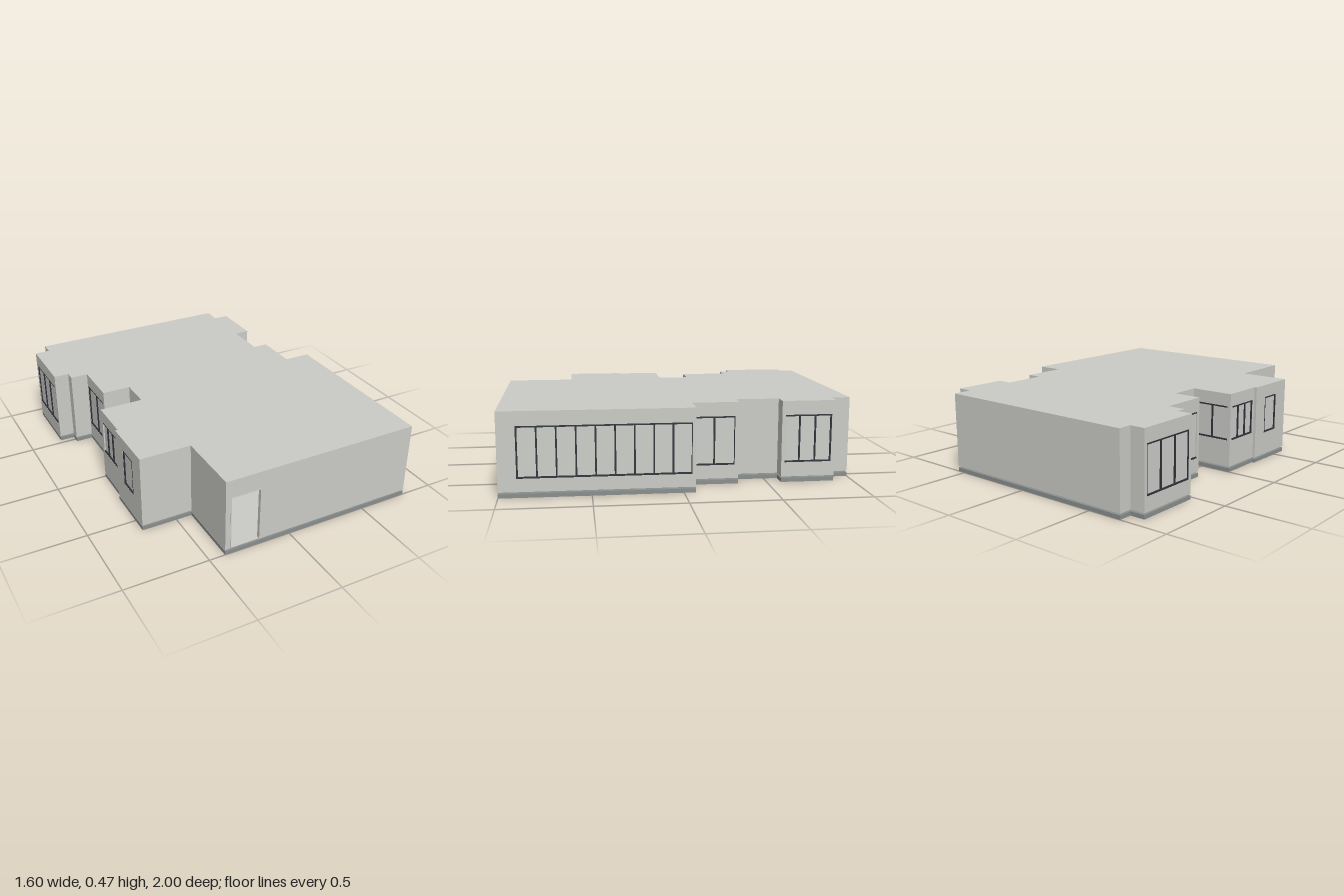
import * as THREE from 'three';

const material = (name, color) => {
  const m = new THREE.MeshStandardMaterial({ color });
  m.name = name;
  return m;
};

// Plan corners as [x, z], walked with the outside on the left hand
const PLAN = [
  [-0.71, -1], [0.55, -1], [0.55, -0.89], [0.64, -0.89], [0.64, -0.58], [0.55, -0.58],
  [0.55, -0.33], [0.64, -0.33], [0.64, -0.065], [0.8, -0.065], [0.8, 1], [-0.405, 1],
  [-0.405, 0.6], [-0.71, 0.6], [-0.71, 0.26], [-0.695, 0.26], [-0.695, 0], [-0.435, 0],
  [-0.435, -0.185], [-0.605, -0.185], [-0.605, -0.47], [-0.71, -0.47], [-0.71, -0.53],
  [-0.8, -0.53], [-0.8, -0.92], [-0.71, -0.92],
];
const FLOOR = 0.032, CEILING = 0.455, TOP = 0.47, WALL = 0.02;

// Openings by plan edge: from and to along the edge, sill, head, number of panes
const OPENINGS = {
  3: { from: -0.87, to: -0.588, sill: 0.115, head: 0.39, panes: 3 },
  7: { from: -0.315, to: -0.07, sill: 0.11, head: 0.39, panes: 2 },
  8: { from: 0.648, to: 0.792, sill: 0.105, head: 0.39, panes: 1 },
  9: { from: -0.05, to: 0.9, sill: 0.105, head: 0.39, panes: 9 },
  10: { from: -0.37, to: -0.195, sill: FLOOR, head: 0.36, panes: 0 },
  13: { from: 0.36, to: 0.49, sill: 0.17, head: 0.395, panes: 1 },
  15: { from: 0.008, to: 0.24, sill: 0.19, head: 0.395, panes: 3 },
  16: { from: -0.687, to: -0.445, sill: 0.19, head: 0.395, panes: 2 },
  19: { from: -0.46, to: -0.195, sill: 0.115, head: 0.39, panes: 2 },
  23: { from: -0.905, to: -0.545, sill: 0.115, head: 0.39, panes: 3 },
};

const edgeOf = (i) => {
  const n = PLAN.length;
  const a = PLAN[(i + n) % n], b = PLAN[(i + 1 + n) % n];
  const length = Math.hypot(b[0] - a[0], b[1] - a[1]);
  return { a, b, length, out: [(b[1] - a[1]) / length, (a[0] - b[0]) / length] };
};

// Horizontal plate following the plan, moved inward by inset
function plate(inset, y0, y1) {
  const points = PLAN.map(([x, z], i) => {
    const p = edgeOf(i - 1).out, q = edgeOf(i).out;
    return new THREE.Vector2(x - inset * (p[0] + q[0]), -(z - inset * (p[1] + q[1])));
  });
  const geo = new THREE.ExtrudeGeometry(new THREE.Shape(points), { depth: y1 - y0, bevelEnabled: false });
  return geo.rotateX(-Math.PI / 2).translate(0, y0, 0);
}

const rect = (Type, x0, y0, x1, y1) => {
  const path = new Type();
  path.moveTo(x0, y0);
  path.lineTo(x1, y0);
  path.lineTo(x1, y1);
  path.lineTo(x0, y1);
  path.closePath();
  return path;
};

export function createModel() {
  const wallMat = material('wall plaster', 0xcbcbc6);
  const baseMat = material('base grey', 0x8a8f8e);
  const frameMat = material('frame charcoal', 0x30333a);
  const glassMat = material('pale glass', 0xccceca);
  const doorMat = material('door grey', 0xbebfbd);

  const house = new THREE.Group();
  house.name = 'house';
  const add = (parent, name, geo, mat) => {
    const mesh = new THREE.Mesh(geo, mat);
    mesh.name = name;
    parent.add(mesh);
    return mesh;
  };
  const box = (parent, name, mat, x0, y0, z0, x1, y1, z1) => {
    const mesh = add(parent, name, new THREE.BoxGeometry(x1 - x0, y1 - y0, z1 - z0), mat);
    mesh.position.set((x0 + x1) / 2, (y0 + y1) / 2, (z0 + z1) / 2);
    return mesh;
  };

  // Base slab, shadow gap, floor and roof
  add(house, 'baseSlab', plate(0, 0, 0.023), baseMat);
  add(house, 'shadowGap', plate(0.03, 0.023, FLOOR), baseMat);
  add(house, 'floor', plate(0.002, FLOOR, FLOOR + 0.003), wallMat);
  add(house, 'roof', plate(0, CEILING, TOP), wallMat);

  // Frame bars and glass, in the wall's own axes (z = 0 is the outer face)
  function window_(parent, u0, u1, { sill, head, panes }) {
    const t = 0.009, zb = -0.014, zf = -0.001;
    box(parent, 'windowGlass', glassMat, u0, sill, -0.012, u1, head, -0.008);
    box(parent, 'windowSill', frameMat, u0, sill, zb, u1, sill + t, zf);
    box(parent, 'windowHead', frameMat, u0, head - t, zb, u1, head, zf);
    for (let k = 0; k <= panes; k++) {
      const u = u0 + t / 2 + ((u1 - u0 - t) * k) / panes;
      box(parent, 'windowMullion', frameMat, u - t / 2, sill, zb, u + t / 2, head, zf);
    }
  }

  // Doorway trim and a leaf swung inward
  function door(parent, u0, u1, { sill, head }) {
    const t = 0.005;
    box(parent, 'doorHead', wallMat, u0 - t, head, -WALL, u1 + t, head + t, 0.002);
    for (const u of [u0 - t, u1])
      box(parent, 'doorJamb', wallMat, u, sill, -WALL, u + t, head, 0.002);
    const leaf = new THREE.Group();
    leaf.name = 'doorLeaf';
    leaf.position.set(u0 + 0.003, 0, -0.008);
    leaf.rotation.y = THREE.MathUtils.degToRad(65);
    parent.add(leaf);
    box(leaf, 'doorPanel', doorMat, 0, sill + 0.004, -0.008, u1 - u0 - 0.005, head - 0.002, 0);
    box(leaf, 'doorHandle', frameMat, u1 - u0 - 0.022, 0.182, 0, u1 - u0 - 0.012, 0.19, 0.008);
  }

  // One wall panel for each edge of the plan
  PLAN.forEach((_, i) => {
    const { a, b, length, out } = edgeOf(i);
    const wall = new THREE.Group();
    wall.name = 'wall' + (i + 1);
    wall.position.set(b[0], 0, b[1]);
    wall.rotation.y = Math.atan2(out[0], out[1]);
    house.add(wall);

    const opening = OPENINGS[i];
    let shape = rect(THREE.Shape, 0, FLOOR, length, CEILING);
    if (opening) {
      const axis = Math.abs(a[0] - b[0]) > Math.abs(a[1] - b[1]) ? 0 : 1;
      const ends = [opening.from, opening.to].map((v) => Math.abs(v - b[axis]));
      const u0 = Math.min(...ends), u1 = Math.max(...ends);
      if (opening.panes) {
        shape.holes.push(rect(THREE.Path, u0, opening.sill, u1, opening.head));
        window_(wall, u0, u1, opening);
      } else {
        // The doorway reaches the floor, so the panel is an arch outline
        shape = new THREE.Shape([
          [0, FLOOR], [u0, FLOOR], [u0, opening.head], [u1, opening.head],
          [u1, FLOOR], [length, FLOOR], [length, CEILING], [0, CEILING],
        ].map(([x, y]) => new THREE.Vector2(x, y)));
        door(wall, u0, u1, opening);
      }
    }
    const geo = new THREE.ExtrudeGeometry(shape, { depth: WALL, bevelEnabled: false });
    add(wall, 'wallPanel', geo.translate(0, 0, -WALL), wallMat);
  });

  return house;
}
